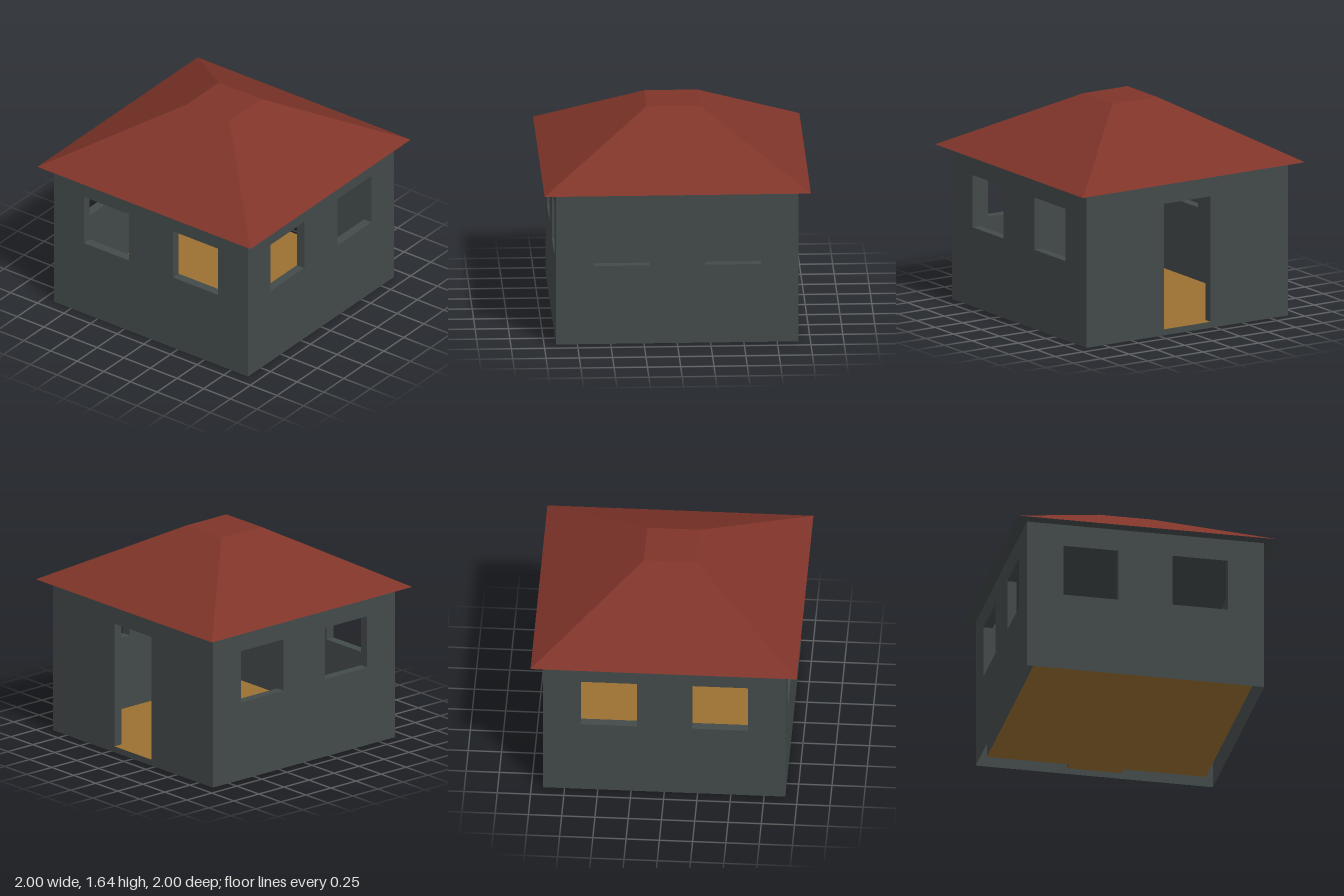
import * as THREE from 'three';

const HALF = 0.91, THICK = 0.07, TOP = 1.19, FLOOR = 0.047;
const INNER = HALF - THICK;

export function createModel() {
  const house = new THREE.Group();
  house.name = 'house';

  const wallMat = new THREE.MeshStandardMaterial({ name: 'slateGrey', color: 0x434a4a, side: THREE.DoubleSide });
  const roofMat = new THREE.MeshStandardMaterial({ name: 'tileRed', color: 0x7f3429 });
  const floorMat = new THREE.MeshStandardMaterial({ name: 'woodBrown', color: 0x9c7031, side: THREE.DoubleSide });

  const add = (parent, name, geometry, material) => {
    const mesh = new THREE.Mesh(geometry, material);
    mesh.name = name;
    parent.add(mesh);
    return mesh;
  };

  // Openings as [x0, x1, y0, y1] in the plane of their wall
  const windows = [[-0.63, -0.207, 0.613, 1.017], [0.207, 0.63, 0.613, 1.017]];
  const door = [[-0.21, 0.21, FLOOR, 1.017]];

  const rectangle = (Type, [x0, x1, y0, y1]) => new Type([
    new THREE.Vector2(x0, y0), new THREE.Vector2(x1, y0),
    new THREE.Vector2(x1, y1), new THREE.Vector2(x0, y1),
  ]);

  // One wall skin with its openings cut out
  const skin = (half, bottom, openings) => {
    const shape = rectangle(THREE.Shape, [-half, half, bottom, TOP]);
    openings.forEach((o) => shape.holes.push(rectangle(THREE.Path, o)));
    return new THREE.ShapeGeometry(shape);
  };

  // Hollow wall, open underneath: outer skin, inner skin and a lining in each opening
  const addWall = (name, angle, openings, isDoor) => {
    const wall = new THREE.Group();
    wall.name = name;
    wall.rotation.y = angle;
    add(wall, 'outerFace', skin(HALF, 0, openings), wallMat).position.z = HALF;

    const inner = skin(INNER, FLOOR, openings);
    inner.rotateY(Math.PI); // faces the room; openings are symmetric
    add(wall, 'innerFace', inner, wallMat).position.z = INNER;

    openings.forEach(([x0, x1, y0, y1]) => {
      const lining = new THREE.BoxGeometry(x1 - x0, y1 - y0, THICK);
      // Keep the jambs and head, plus the sill for windows
      lining.setIndex(Array.from(lining.index.array).slice(0, isDoor ? 18 : 24));
      lining.clearGroups();
      lining.translate((x0 + x1) / 2, (y0 + y1) / 2, HALF - THICK / 2);
      add(wall, isDoor ? 'doorLining' : 'windowLining', lining, wallMat);
      if (isDoor) {
        const threshold = new THREE.PlaneGeometry(x1 - x0, THICK).rotateX(-Math.PI / 2);
        add(wall, 'threshold', threshold, floorMat).position.set((x0 + x1) / 2, FLOOR, HALF - THICK / 2);
      }
    });
    house.add(wall);
  };

  addWall('frontWall', 0, windows, false);
  addWall('leftWall', Math.PI / 2, door, true);
  addWall('backWall', Math.PI, windows, false);
  addWall('rightWall', -Math.PI / 2, windows, false);

  // Wooden floor between the inner skins
  const floor = new THREE.PlaneGeometry(2 * INNER, 2 * INNER).rotateX(-Math.PI / 2);
  add(house, 'floor', floor, floorMat).position.y = FLOOR;

  // Four-sided roof with a flat top and a grey soffit that is also the ceiling
  const height = 1.64 - TOP;
  let roof = new THREE.CylinderGeometry(0.2 * Math.SQRT2, Math.SQRT2, height, 4);
  roof = roof.rotateY(Math.PI / 4).toNonIndexed();
  roof.computeVertexNormals();
  add(house, 'roof', roof, [roofMat, roofMat, wallMat]).position.y = TOP + height / 2;

  return house;
}
